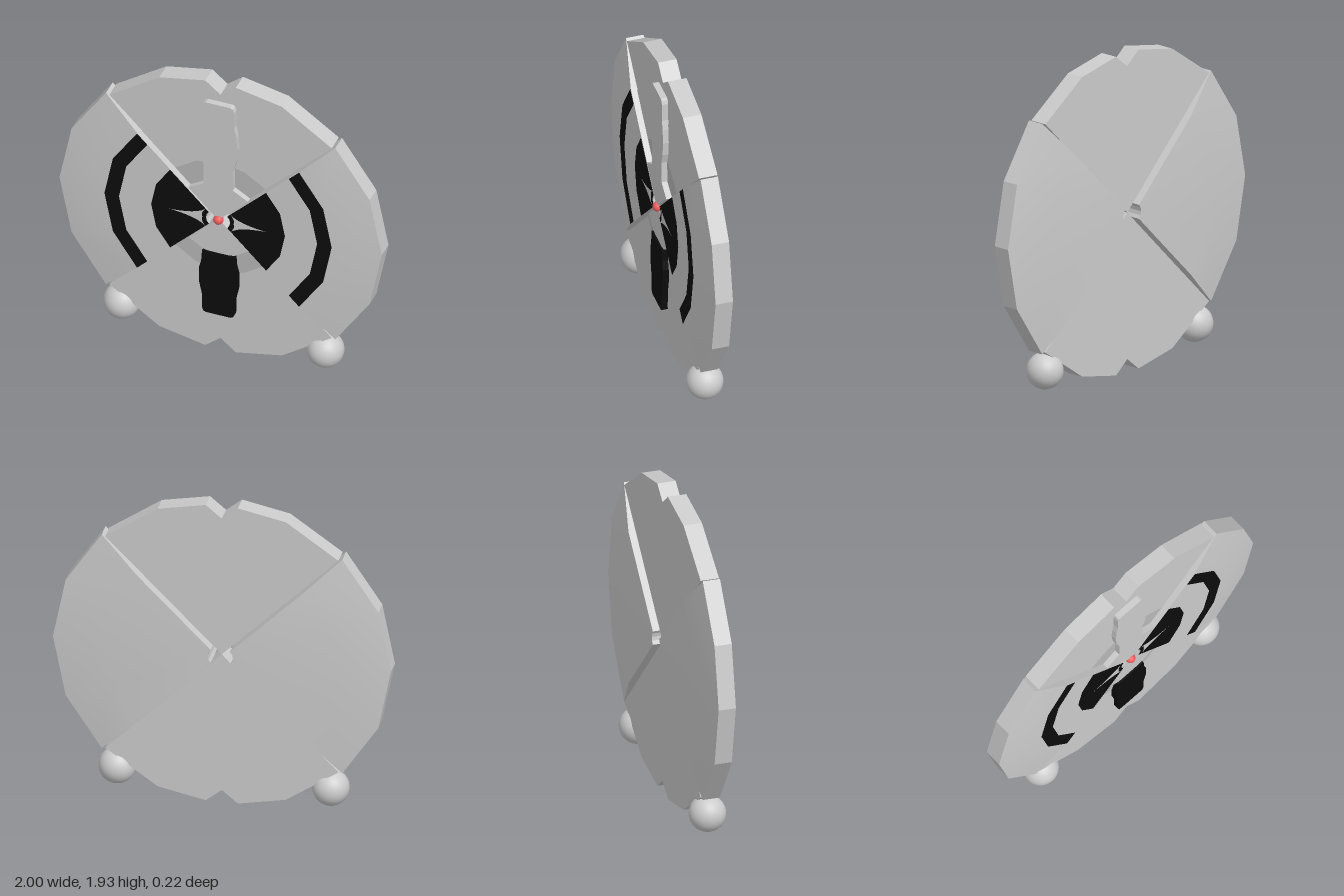
import * as THREE from 'three';
import { toCreasedNormals } from 'three/addons/utils/BufferGeometryUtils.js';

const Q = Math.PI / 4;
const paint = (color) => new THREE.MeshStandardMaterial({ color, side: THREE.DoubleSide });
const grey = paint(0xcccccc), white = paint(0xffffff), black = paint(0x0c0c0c);
const dim = paint(0xb8b8b8), red = paint(0xee5c5c);

function add(parent, name, geometry, material, x = 0, y = 0, z = 0) {
  const mesh = new THREE.Mesh(geometry, material);
  mesh.name = name;
  mesh.position.set(x, y, z);
  parent.add(mesh);
  return mesh;
}

const shapeOf = (pts) => new THREE.Shape(pts.map(([x, y]) => new THREE.Vector2(x, y)));

// Outline given as its +x half, mirrored and extruded from z0 to z1
function symmetricPlate(half, z0, z1) {
  const other = half.filter(([x]) => x > 0).map(([x, y]) => [-x, y]).reverse();
  const geo = new THREE.ExtrudeGeometry(shapeOf([...half, ...other]), { depth: z1 - z0, bevelEnabled: false });
  return geo.translate(0, 0, z0);
}

// Flat quarter ring of four facets centred on the given angle
const band = (r0, r1, angle) => new THREE.RingGeometry(r0, r1, 4, 1, angle - Q, 2 * Q);

// Thick quarter with tapered rim, pointing to +x
function sideQuarter() {
  const g = new THREE.Group();
  const profile = [[0.06, -0.1], [0.68, -0.1], [0.985, -0.055], [0.985, 0.05], [0.69, 0.088], [0.06, 0.088]];
  const pts = [...profile, profile[0]].map(([r, z]) => new THREE.Vector2(r, z));
  const shell = new THREE.LatheGeometry(pts, 4, Q, 2 * Q).rotateX(Math.PI / 2);
  add(g, 'quarterShell', toCreasedNormals(shell, 0.35), grey);
  for (const a of [-Q, Q]) {
    const wall = new THREE.ShapeGeometry(shapeOf(profile)).rotateX(Math.PI / 2).rotateZ(a);
    add(g, 'quarterWall', wall, grey);
  }
  // Painted bands
  add(g, 'outerBand', band(0.6, 0.69, 0), black, 0, 0, 0.091);
  add(g, 'middleBand', band(0.4, 0.6, 0), white, 0, 0, 0.091);
  add(g, 'innerBand', band(0.06, 0.4, 0), black, 0, 0, 0.091);
  // Pointed crescent near the hub
  const spike = new THREE.Shape();
  spike.moveTo(0.285, 0);
  spike.quadraticCurveTo(0.12, 0.01, 0.065, 0.06);
  spike.quadraticCurveTo(0.095, 0.02, 0.08, 0);
  spike.quadraticCurveTo(0.095, -0.02, 0.065, -0.06);
  spike.quadraticCurveTo(0.12, -0.01, 0.285, 0);
  add(g, 'spike', new THREE.ShapeGeometry(spike, 6), white, 0, 0, 0.093);
  return g;
}

// Thin quarter with a notch in its rim, pointing to +y
function notchedQuarter(direction) {
  const g = new THREE.Group();
  const half = [[0, 0], [0.69, 0.69], [0.38, 0.905], [0.095, 0.963], [0, 0.885]]
    .map(([x, y]) => [x, y * direction]);
  add(g, 'notchedPlate', symmetricPlate(half, -0.06, 0.052), grey);
  add(g, 'lightBand', band(0.395, 0.685, direction * 2 * Q), white, 0, 0, 0.055);
  add(g, 'innerDisc', band(0, 0.395, direction * 2 * Q), dim, 0, 0, 0.055);
  return g;
}

export function createModel() {
  const model = new THREE.Group();
  model.name = 'disc';
  const disc = new THREE.Group();
  disc.name = 'discBody';
  disc.position.y = 0.965;
  model.add(disc);

  const left = sideQuarter();
  left.name = 'leftQuarter';
  left.position.x = 0.015;
  const right = sideQuarter();
  right.name = 'rightQuarter';
  right.position.x = -0.015;
  right.scale.x = -1;
  const top = notchedQuarter(1);
  top.name = 'topQuarter';
  const bottom = notchedQuarter(-1);
  bottom.name = 'bottomQuarter';
  disc.add(left, right, top, bottom);

  // Upper handle flaring into the hub
  const handle = [[0, 0], [0.19, 0.19], [0.185, 0.185], [0.092, 0.24], [0.09, 0.38], [0.112, 0.45], [0.12, 0.54],
    [0.113, 0.63], [0.1, 0.69], [0.1, 0.805], [0.092, 0.827], [0.075, 0.835]];
  handle.splice(1, 1);
  add(top, 'upperHandle', symmetricPlate(handle, 0.04, 0.09), grey);

  // Lower hub with its painted band
  add(bottom, 'lowerHub', symmetricPlate([[0, 0], [0.184, -0.184], [0.1, -0.24], [0, -0.26]], 0.04, 0.08), grey);
  add(bottom, 'hubBand', band(0.1, 0.155, -2 * Q), white, 0, 0, 0.083);

  // Lower dark handle
  const grip = [[0.1, -0.247], [0.105, -0.32], [0.12, -0.38], [0.12, -0.47], [0.101, -0.56],
    [0.1, -0.66], [0.092, -0.683], [0.075, -0.69]];
  add(bottom, 'lowerHandle', symmetricPlate(grip, 0.04, 0.09), black);

  // Centre button
  add(disc, 'button', new THREE.SphereGeometry(0.03, 20, 14), red, 0, 0, 0.085);

  // Ball feet
  for (const s of [-1, 1]) {
    add(model, s > 0 ? 'leftFoot' : 'rightFoot', new THREE.SphereGeometry(0.109, 32, 20), grey, s * 0.632, 0.142, 0);
  }
  return model;
}
